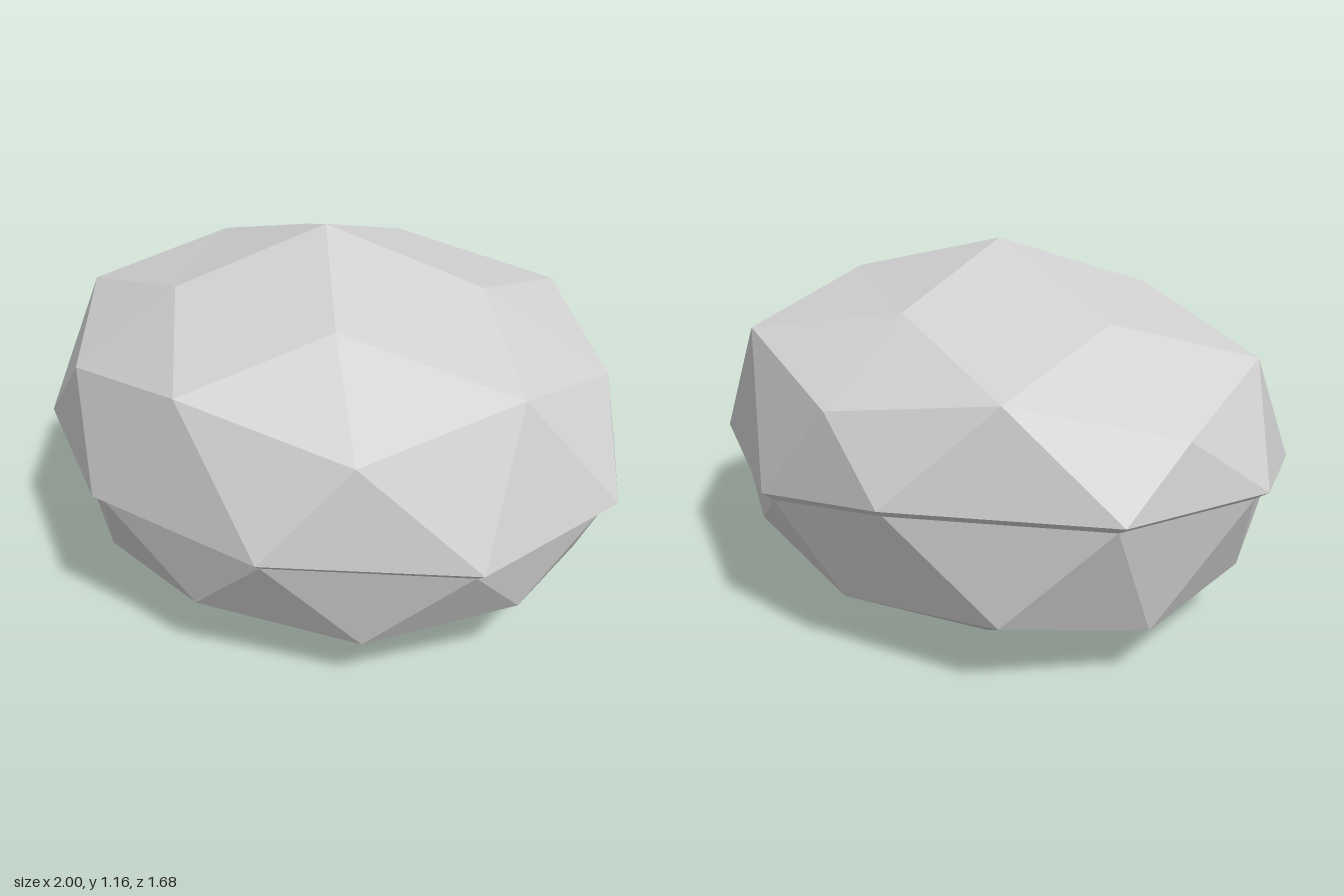
import * as THREE from 'three';

// Rings run anticlockwise seen from above, starting at the front (+z) and turning to +x.
const rim = [
  [0.29, 0.49, 0.84], [0.81, 0.46, 0.51], [1, 0.52, 0.05], [0.81, 0.475, -0.42], [0.26, 0.49, -0.775],
  [-0.26, 0.6, -0.84], [-0.84, 0.6, -0.53], [-1, 0.57, -0.03], [-0.84, 0.49, 0.44], [-0.33, 0.49, 0.8],
];
const upperRing = [
  [-0.03, 0.87, 0.76], [0.5, 0.77, 0.67], [0.79, 0.88, 0.27], [0.84, 0.79, -0.21], [0.49, 0.91, -0.57],
  [-0.02, 0.81, -0.78], [-0.53, 0.9, -0.65], [-0.89, 0.78, -0.3], [-0.84, 0.88, 0.18], [-0.56, 0.77, 0.59],
];
const crown = [
  [0.27, 1.01, 0.41], [0.47, 1.02, -0.1], [-0.03, 1.02, -0.46], [-0.55, 1.01, -0.17], [-0.35, 1, 0.35],
];
const lowerRing = [
  [0, 0.21, 0.75], [0.48, 0.16, 0.6], [0.81, 0.225, 0.27], [0.8, 0.185, -0.18], [0.53, 0.25, -0.54],
  [0.01, 0.2, -0.7], [-0.51, 0.24, -0.635], [-0.79, 0.18, -0.295], [-0.82, 0.21, 0.175], [-0.48, 0.16, 0.58],
];
const base = [
  [0, 0, 0.44], [0.49, 0.01, 0.16], [0.31, 0.025, -0.355], [-0.265, 0.03, -0.37], [-0.47, 0.01, 0.14],
];

// Flat-shaded mesh from a list of triangles, reversed for shells that face down
function facetMesh(name, triangles, flip, material) {
  const positions = triangles.flatMap((t) => (flip ? [t[0], t[2], t[1]] : t)).flat();
  const geometry = new THREE.BufferGeometry();
  geometry.setAttribute('position', new THREE.Float32BufferAttribute(positions, 3));
  geometry.computeVertexNormals();
  const mesh = new THREE.Mesh(geometry, material);
  mesh.name = name;
  return mesh;
}

// Faceted half shell: edge ring of 10, middle ring of 10, cap ring of 5, pole.
// shift is the middle-ring index that the first cap point sits beside.
function halfShell(edge, ring, cap, pole, shift) {
  const tris = [];
  for (let k = 0; k < 10; k++) {
    const next = ring[(k + 1) % 10];
    tris.push([edge[(k + 9) % 10], edge[k], ring[k]], [ring[k], edge[k], next]);
  }
  for (let m = 0; m < 5; m++) {
    const k = 2 * m + shift;
    const at = (i) => ring[(i + 10) % 10];
    const p = cap[m], q = cap[(m + 1) % 5];
    tris.push([p, at(k - 1), at(k)], [p, at(k), at(k + 1)], [p, at(k + 1), q], [pole, p, q]);
  }
  return tris;
}

export function createModel() {
  // Facet normals are already flat because no vertices are shared
  const stone = new THREE.MeshStandardMaterial({ color: 0xd1d1d1 });
  stone.name = 'stone grey';

  // The lower half starts slightly inside and below the upper rim
  const lowerRim = rim.map(([x, y, z]) => [x * 0.957, y - 0.03, z * 0.957]);
  const ledge = rim.flatMap((a, k) => {
    const n = (k + 1) % 10;
    return [[a, lowerRim[k], lowerRim[n]], [a, lowerRim[n], rim[n]]];
  });

  const rock = new THREE.Group();
  rock.name = 'rock';
  rock.add(
    facetMesh('upperRock', halfShell(rim, upperRing, crown, [-0.03, 1.16, 0], 1), false, stone),
    facetMesh('ledge', ledge, false, stone),
    facetMesh('lowerRock', halfShell(lowerRim, lowerRing, base, [0, 0, 0], 0), true, stone),
  );
  return rock;
}
